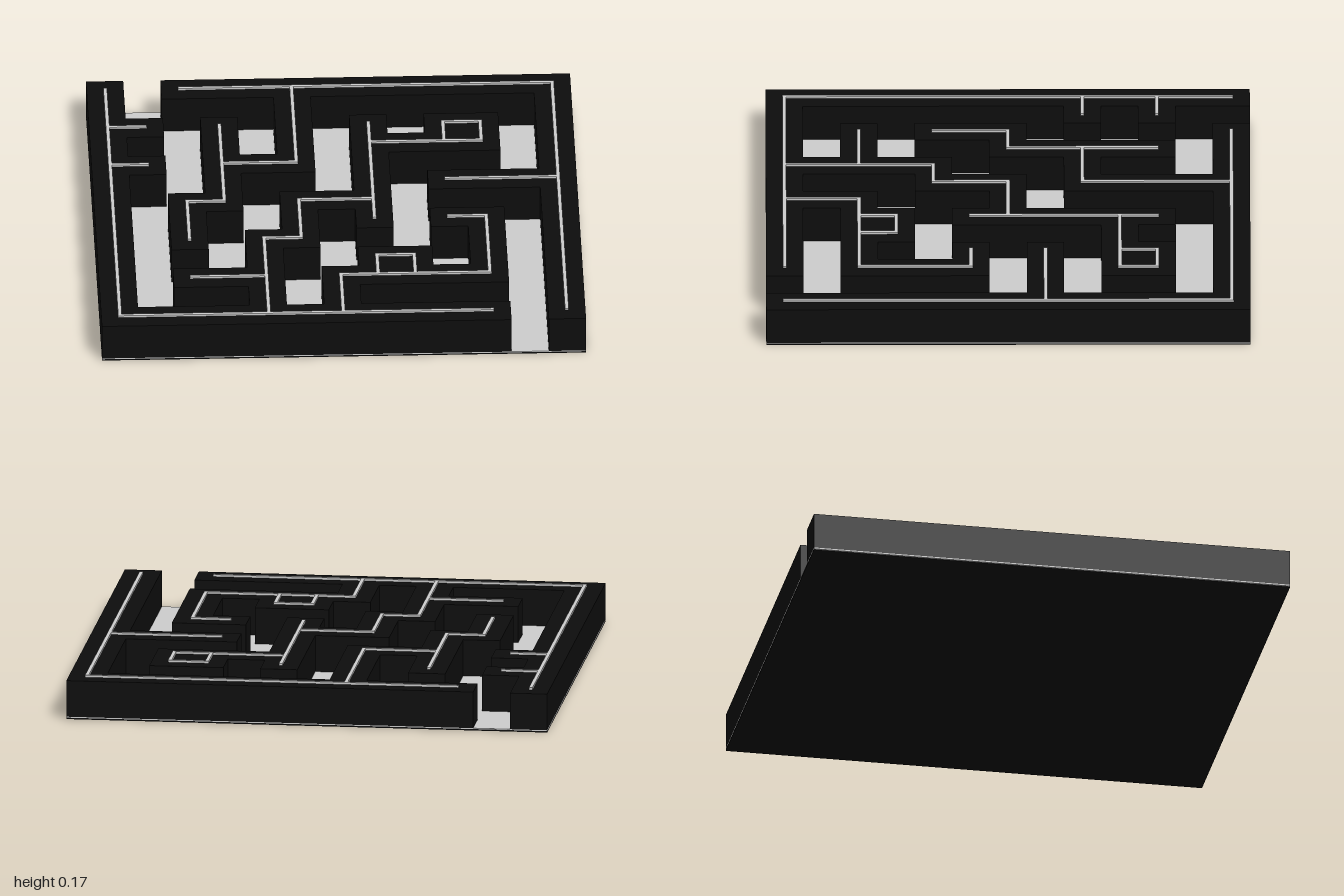
import * as THREE from 'three';
import { mergeGeometries } from 'three/addons/utils/BufferGeometryUtils.js';

const N = 13, CELL = 2 / N;
const FLOOR_Y = 0.01, WALL_Y = 0.163, LINE_Y = 0.172, LINE_W = 0.015;
const at = (i) => (i - (N - 1) / 2) * CELL;

// Wall runs on the 13 x 13 grid: [x0, z0, x1, z1]
const RUNS = [
  // outer walls, leaving an opening at the back and at the front
  [0, 0, 0, 12], [0, 12, 10, 12], [2, 0, 12, 0], [12, 0, 12, 12],
  // stubs on the outer walls
  [0, 2, 1, 2], [0, 4, 1, 4], [9, 5, 12, 5],
  // back branch
  [5, 0, 5, 4], [3, 4, 5, 4], [3, 2, 3, 6], [2, 6, 3, 6], [2, 6, 2, 8],
  // central branch with its square block
  [7, 2, 7, 7], [7, 3, 10, 3], [9, 2, 10, 2], [9, 2, 9, 3], [10, 2, 10, 3],
  [5, 6, 7, 6], [5, 6, 5, 8], [4, 8, 5, 8], [4, 8, 4, 12], [2, 10, 4, 10],
  // front branch with its square block
  [6, 10, 6, 12], [6, 10, 10, 10], [10, 7, 10, 10], [9, 7, 10, 7],
  [7, 9, 7, 10], [7, 9, 8, 9], [8, 9, 8, 10],
];

// Box around a grid run, of a given width and height range
function runBox([x0, z0, x1, z1], width, y0, y1) {
  const g = new THREE.BoxGeometry((x1 - x0) * CELL + width, y1 - y0, (z1 - z0) * CELL + width);
  return g.translate((at(x0) + at(x1)) / 2, (y0 + y1) / 2, (at(z0) + at(z1)) / 2);
}

// Mark the occupied cells, then cover each row with as few boxes as possible
function wallGeometry() {
  const filled = new Set();
  for (const [x0, z0, x1, z1] of RUNS)
    for (let x = x0; x <= x1; x++) for (let z = z0; z <= z1; z++) filled.add(z * N + x);
  const boxes = [];
  for (let z = 0; z < N; z++) {
    for (let x = 0; x < N; x++) {
      if (!filled.has(z * N + x)) continue;
      const start = x;
      while (x + 1 < N && filled.has(z * N + x + 1)) x++;
      boxes.push(runBox([start, z, x, z], CELL, FLOOR_Y, WALL_Y));
    }
  }
  return mergeGeometries(boxes);
}

export function createModel() {
  const model = new THREE.Group();
  model.name = 'maze';
  const black = new THREE.MeshStandardMaterial({ color: 0x0d0d0d });
  const grey = new THREE.MeshStandardMaterial({ color: 0xcccccc });
  const add = (name, geometry, material) => {
    const mesh = new THREE.Mesh(geometry, material);
    mesh.name = name;
    model.add(mesh);
  };

  // Dark base plate with a pale floor on top
  add('base', new THREE.BoxGeometry(2, 0.006, 2).translate(0, 0.003, 0), black);
  add('floor', new THREE.BoxGeometry(2, FLOOR_Y - 0.006, 2).translate(0, (FLOOR_Y + 0.006) / 2, 0), grey);

  // Thick walls, and thin raised lines along their tops
  add('walls', wallGeometry(), black);
  add('wallLines', mergeGeometries(RUNS.map((r) => runBox(r, LINE_W, WALL_Y, LINE_Y))), grey);

  return model;
}
